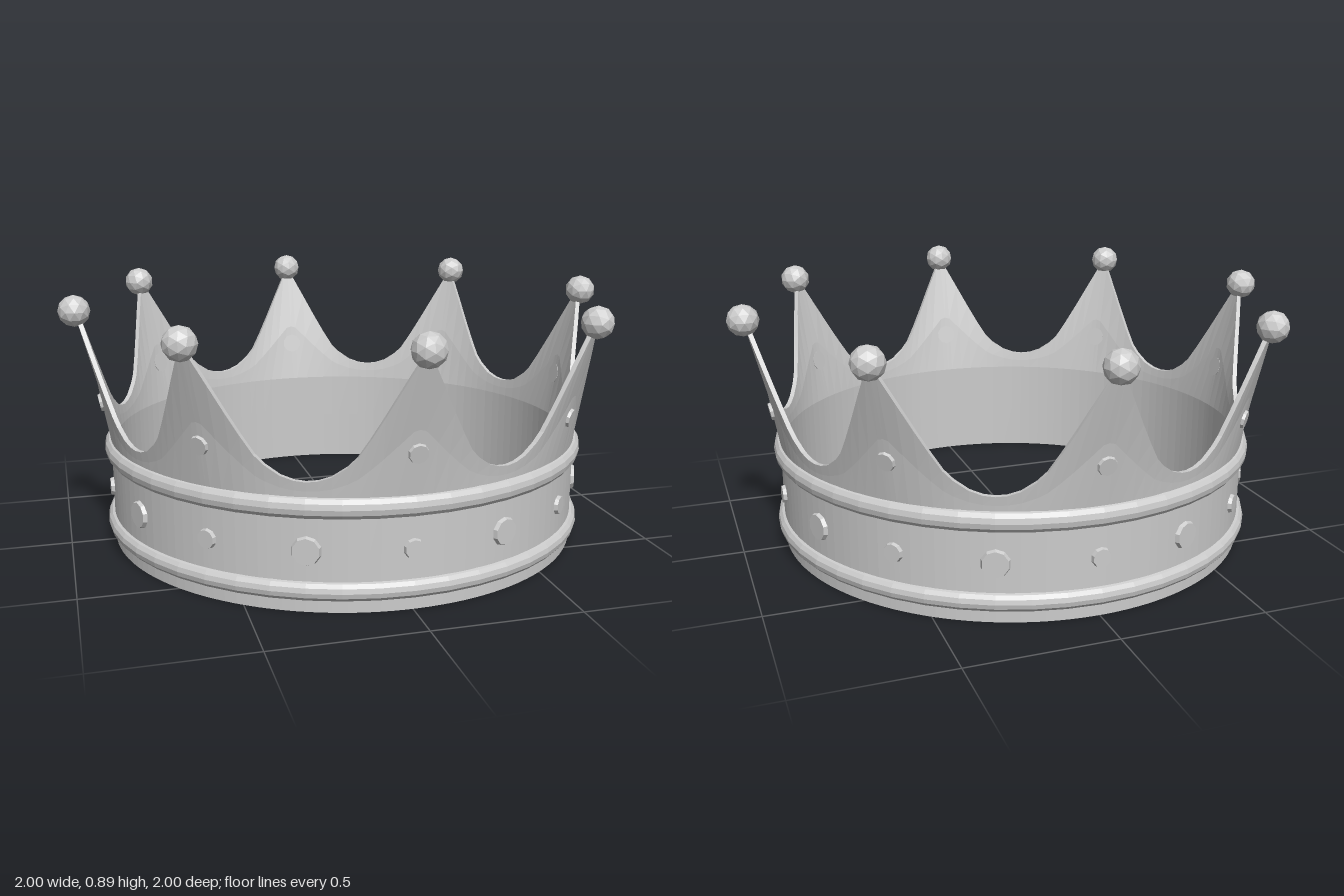
import * as THREE from 'three';

const POINTS = 8;
const STEP = (Math.PI * 2) / POINTS;
const WALL = 0.016;

// Half of one spike's upper edge: [degrees from the spike centre, height]
const EDGE = [[0, 0.81], [1.2, 0.8], [4, 0.715], [6.9, 0.63], [9.5, 0.56], [12, 0.5],
  [14, 0.47], [17.2, 0.438], [20, 0.424], [22.5, 0.42]];

// Outer radius: upright band, then spikes flaring outwards
const radiusAt = (y) => 0.842 + 0.095 * Math.pow(Math.max(0, (y - 0.36) / 0.44), 1.3);

// Thin wall made of a closed section at each angle: up the outside, down the inside
function wallGeometry() {
  const half = EDGE.map(([deg, y]) => [THREE.MathUtils.degToRad(deg), y]);
  const period = [...half, ...half.slice(1, -1).reverse().map(([a, y]) => [STEP - a, y])];
  const columns = [];
  for (let k = 0; k < POINTS; k++) period.forEach(([a, y]) => columns.push([a + k * STEP, y]));

  const levels = [0, 0.5, 1];
  const positions = [], index = [];
  let n = 0;
  for (const [a, top] of columns) {
    const heights = [0, 0.19, ...levels.map((t) => 0.36 + t * (top - 0.36))];
    const section = [
      ...heights.map((y) => [radiusAt(y), y]),
      ...heights.slice().reverse().map((y) => [radiusAt(y) - WALL, y]),
    ];
    n = section.length;
    section.forEach(([r, y]) => positions.push(r * Math.sin(a), y, r * Math.cos(a)));
  }
  for (let i = 0; i < columns.length; i++) {
    const next = (i + 1) % columns.length;
    for (let j = 0; j < n; j++) {
      const up = (j + 1) % n;
      const a = i * n + j, b = next * n + j, c = next * n + up, d = i * n + up;
      index.push(a, b, c, a, c, d);
    }
  }
  const geometry = new THREE.BufferGeometry();
  geometry.setAttribute('position', new THREE.Float32BufferAttribute(positions, 3));
  geometry.setIndex(index);
  geometry.computeVertexNormals();
  return geometry;
}

export function createModel() {
  const crown = new THREE.Group();
  crown.name = 'crown';
  const metal = new THREE.MeshStandardMaterial({ color: 0xcccccc, flatShading: true });

  function add(name, geometry, parent = crown) {
    const mesh = new THREE.Mesh(geometry, metal);
    mesh.name = name;
    parent.add(mesh);
    return mesh;
  }

  add('spikedBand', wallGeometry());

  // Rounded trim hoops above and below the gems
  function hoop(name, y, halfHeight) {
    const profile = [];
    for (let i = 0; i <= 6; i++) {
      const t = -Math.PI / 2 + (Math.PI * i) / 6;
      profile.push(new THREE.Vector2(0.838 + 0.028 * Math.cos(t), y + halfHeight * Math.sin(t)));
    }
    add(name, new THREE.LatheGeometry(profile, 48));
  }
  hoop('lowerHoop', 0.07, 0.032);
  hoop('upperHoop', 0.338, 0.036);

  // Low round studs facing outwards, tilted to lie on the wall
  const studGeometry = (r) => new THREE.CylinderGeometry(r * 0.8, r, 0.028, 10).rotateX(Math.PI / 2);
  const smallStud = studGeometry(0.038);
  const largeStud = studGeometry(0.054);
  const ball = new THREE.IcosahedronGeometry(0.055, 1);

  for (let k = 0; k < POINTS; k++) {
    const spike = new THREE.Group();
    spike.name = 'spikeOrnaments';
    spike.rotation.y = k * STEP;
    crown.add(spike);

    add('tipBall', ball, spike).position.set(0, 0.835, 0.945);
    add('bandStud', smallStud, spike).position.set(0, 0.2, 0.84);
    const spikeStud = add('spikeStud', smallStud, spike);
    spikeStud.position.set(0, 0.51, radiusAt(0.51) - 0.002);
    spikeStud.rotation.x = Math.atan((radiusAt(0.55) - radiusAt(0.47)) / 0.08);

    const between = new THREE.Group();
    between.name = 'valleyOrnament';
    between.rotation.y = (k + 0.5) * STEP;
    crown.add(between);
    add('largeBandStud', largeStud, between).position.set(0, 0.2, 0.84);
  }
  return crown;
}
